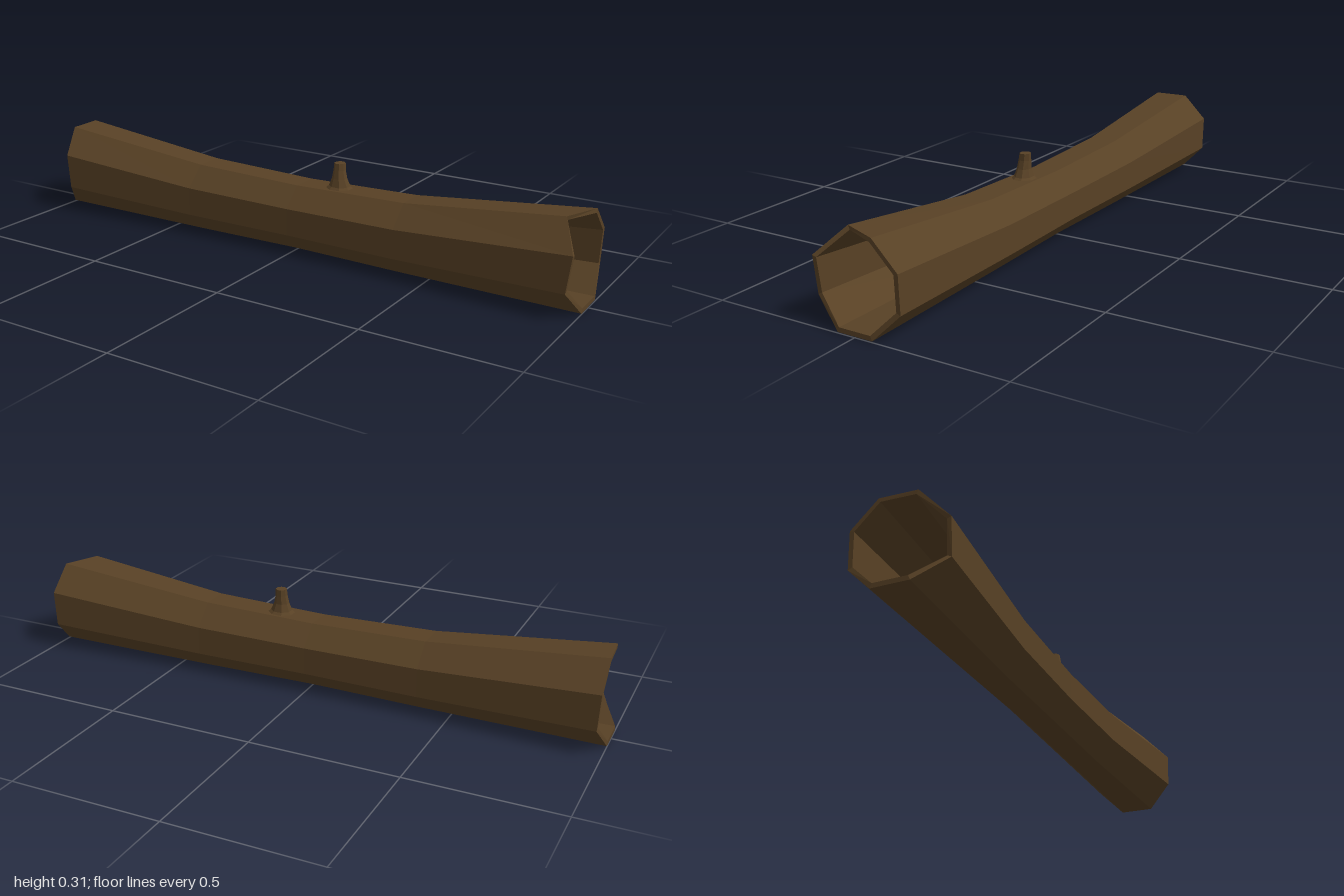
import * as THREE from 'three';

const bark = new THREE.MeshStandardMaterial({ color: 0x584125, flatShading: true });
bark.name = 'barkBrown';

// Skins a list of rings (arrays of [x, y, z]) with quads.
function loft(rings) {
  const pos = [];
  const idx = [];
  const n = rings[0].length;
  rings.forEach((ring) => ring.forEach((p) => pos.push(...p)));
  for (let r = 0; r < rings.length - 1; r++) {
    for (let i = 0; i < n; i++) {
      const a = r * n + i;
      const b = r * n + (i + 1) % n;
      const c = a + n;
      const d = b + n;
      idx.push(a, c, b, b, c, d);
    }
  }
  const geo = new THREE.BufferGeometry();
  geo.setAttribute('position', new THREE.Float32BufferAttribute(pos, 3));
  geo.setIndex(idx);
  const flat = geo.toNonIndexed();
  flat.computeVertexNormals();
  return flat;
}

// Octagon in the yz plane; corner i runs from front-upper over the top to the back.
function octagon(xs, centreY, half) {
  return Array.from({ length: 8 }, (_, i) => {
    const a = Math.PI / 8 + i * Math.PI / 4;
    const r = half / Math.cos(Math.PI / 8);
    const x = Array.isArray(xs) ? xs[i] : xs;
    return [x, centreY + r * Math.sin(a), r * Math.cos(a)];
  });
}

export function createModel() {
  const group = new THREE.Group();
  group.name = 'hollowLog';
  const add = (name, geo) => {
    const mesh = new THREE.Mesh(geo, bark);
    mesh.name = name;
    group.add(mesh);
  };

  // Ragged end cuts, one x per corner
  const leftCut = [-0.945, -0.98, -0.985, -0.985, -0.98, -1, -1, -0.935];
  const rightCut = [0.99, 0.935, 0.985, 0.985, 0.98, 1, 1, 0.975];

  // Stations: x, outer centre and half width, inner centre and half width
  const stations = [
    [leftCut, 0.148, 0.145, 0.149, 0.131],
    [-0.4, 0.1175, 0.1175, 0.121, 0.104],
    [0, 0.1145, 0.111, 0.12, 0.1],
    [0.4, 0.1175, 0.1175, 0.121, 0.104],
    [rightCut, 0.148, 0.145, 0.149, 0.131],
  ];
  const outer = stations.map((s) => octagon(s[0], s[1], s[2]));
  const inner = stations.map((s) => octagon(s[0], s[3], s[4]));

  // Trunk shell and end rims; the hollow runs backwards so that it faces inwards
  add('outerBark', loft(outer));
  add('innerHollow', loft([...inner].reverse()));
  add('leftRim', loft([inner[0], outer[0]]));
  add('rightRim', loft([outer[4], inner[4]]));

  // Broken twig flaring out of the top: y, x centre, z centre, x radius, z radius
  const twigRings = [
    [0.224, 0.139, 0, 0.053, 0.045],
    [0.236, 0.138, 0, 0.037, 0.032],
    [0.262, 0.137, 0, 0.026, 0.024],
    [0.29, 0.136, -0.002, 0.02, 0.021],
    [0.313, 0.136, -0.004, 0.019, 0.019],
    [0.313, 0.136, -0.004, 0.0005, 0.0005],
  ].map(([y, cx, cz, rx, rz]) => Array.from({ length: 8 }, (_, i) => {
    const a = Math.PI / 8 + i * Math.PI / 4;
    return [cx + rx * Math.cos(a), y, cz + rz * Math.sin(a)];
  }));
  add('twig', loft(twigRings));

  return group;
}
